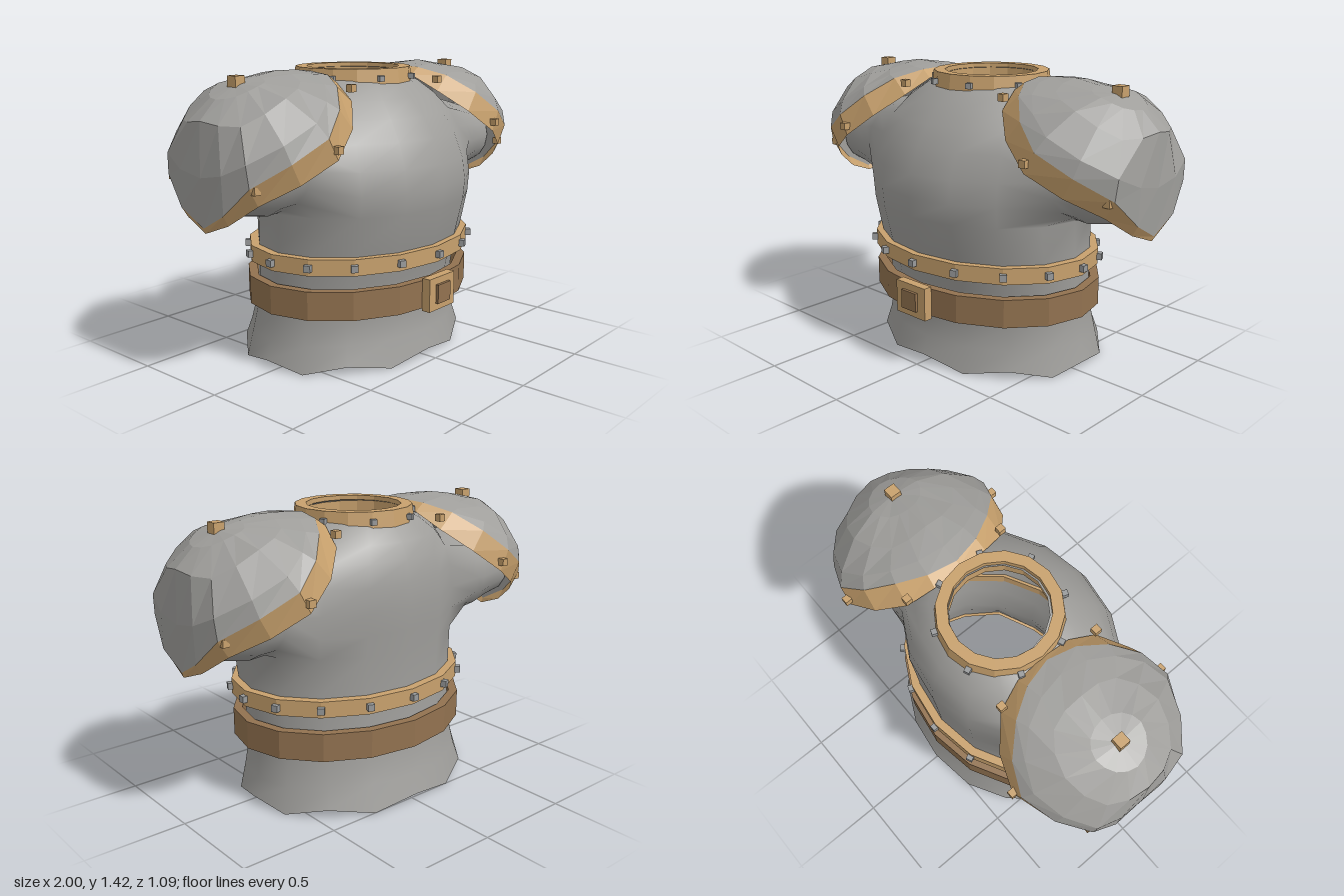
import * as THREE from 'three';

const V = (x, y, z) => new THREE.Vector3(x, y, z);
const ZC = -0.04; // depth of the body's axis
const N = 16;     // sides of every ring

function surface(points, idx) {
  const g = new THREE.BufferGeometry();
  g.setAttribute('position', new THREE.Float32BufferAttribute(points.flatMap(p => [p.x, p.y, p.z]), 3));
  g.setIndex(idx);
  return g;
}

// Faceted skin over closed rings of points
function loft(rings) {
  const idx = [];
  for (let i = 0; i < rings.length - 1; i++) {
    for (let j = 0; j < N; j++) {
      const k = (j + 1) % N;
      const a = i * N + j, b = i * N + k, c = b + N, d = a + N;
      if (rings[i][j].distanceTo(rings[i][k]) > 1e-6) idx.push(a, b, c);
      idx.push(a, c, d);
    }
  }
  const g = surface(rings.flat(), idx).toNonIndexed();
  g.computeVertexNormals();
  return g;
}

// Oval ring around the body
function oval(rx, front, back, yAt) {
  const c = (front + back) / 2, rz = (front - back) / 2;
  return Array.from({ length: N }, (_, j) => {
    const a = j / N * Math.PI * 2;
    return V(rx * Math.sin(a), yAt(j), c + rz * Math.cos(a));
  });
}

// Hollow hoop with a rectangular section
function hoop(rx, front, back, y0, y1, wall, flare = 0) {
  const ring = (inset, y) => oval(rx - inset, front - inset, back + inset, () => y);
  return loft([ring(wall, y0), ring(-flare, y0), ring(0, y1), ring(wall, y1), ring(wall, y0)]);
}

// Smooth shell: body rings with an armhole on each side, bridged to the sleeve rings
function shirt(body, sleeve) {
  const pts = body.flat(), idx = [];
  const low = 5, high = 9; // rows of the armhole
  const quad = (a, b, c, d) => idx.push(a, b, c, a, c, d);
  for (let i = 0; i < body.length - 1; i++) {
    for (let j = 0; j < N; j++) {
      if (i >= low && i < high && j % 8 >= 2 && j % 8 <= 5) continue;
      const k = (j + 1) % N;
      quad(i * N + j, i * N + k, (i + 1) * N + k, (i + 1) * N + j);
    }
  }
  // Walk round the armhole from the top centre towards the front
  const hole = [[high, 4], [high, 3]];
  for (let r = high; r >= low; r--) hole.push([r, 2]);
  for (let c = 3; c <= 5; c++) hole.push([low, c]);
  for (let r = low; r <= high; r++) hole.push([r, 6]);
  hole.push([high, 5]);
  for (const s of [1, -1]) {
    let prev = hole.map(([r, c]) => r * N + (s > 0 ? c : N - c));
    for (const ring of sleeve) {
      const next = ring.map(p => pts.push(V(p.x * s, p.y, p.z)) - 1);
      for (let j = 0; j < N; j++) {
        const k = (j + 1) % N;
        if (s > 0) quad(prev[j], prev[k], next[k], next[j]);
        else quad(prev[k], prev[j], next[j], next[k]);
      }
      prev = next;
    }
  }
  const g = surface(pts, idx);
  g.computeVertexNormals();
  return g;
}

export function createModel() {
  const root = new THREE.Group();
  root.name = 'shoulderedArmor';
  const mat = (name, color) => {
    const m = new THREE.MeshStandardMaterial({ color, side: THREE.DoubleSide });
    m.name = name;
    return m;
  };
  const steel = mat('steel', 0x9f9e9b);
  const rivetSteel = mat('rivetSteel', 0x999b9c);
  const brass = mat('brass', 0xc8a16d);
  const leather = mat('leather', 0x927250);

  const add = (name, geo, material, parent = root) => {
    const m = new THREE.Mesh(geo, material);
    m.name = name;
    parent.add(m);
    return m;
  };
  const stud = (name, p, size, material, parent, turn = 0) => {
    const m = add(name, new THREE.BoxGeometry(size, size, size), material, parent);
    m.position.copy(p);
    m.rotation.y = turn;
  };

  // Torso sections: y, half width, front z, back z
  const hemY = j => (j % 2 ? 0 : 0.04);
  const hem = oval(0.635, 0.455, -0.54, hemY);
  const torso = [
    [0.13, 0.607, 0.425, -0.505], [0.25, 0.585, 0.40, -0.47],
    [0.43, 0.58, 0.425, -0.455], [0.6, 0.597, 0.475, -0.45],
    [0.77, 0.603, 0.518, -0.457], [0.87, 0.605, 0.528, -0.462],
    [0.98, 0.595, 0.513, -0.468], [1.1, 0.57, 0.465, -0.46],
    [1.2, 0.53, 0.4, -0.435], [1.28, 0.46, 0.325, -0.395],
    [1.345, 0.36, 0.255, -0.34], [1.4, 0.225, 0.175, -0.275],
  ].map(([y, rx, f, b]) => oval(rx, f, b, () => y));
  // Sleeve sections: x, centre y, half height, half depth
  const sleeve = [
    [0.62, 1.0, 0.222, 0.29], [0.7, 0.985, 0.218, 0.26],
    [0.84, 0.98, 0.185, 0.21], [0.982, 0.98, 0.17, 0.17],
  ].map(([x, cy, ry, rz]) => Array.from({ length: N }, (_, j) => {
    const a = j / N * Math.PI * 2;
    return V(x, cy + ry * Math.cos(a), ZC + rz * Math.sin(a));
  }));
  add('torsoAndSleeves', shirt([hem, ...torso], sleeve), steel);
  add('hemEdge', loft([oval(0.618, 0.438, -0.523, hemY), hem]), brass);

  // Collar with eight rivets
  add('collar', hoop(0.288, 0.243, -0.333, 1.33, 1.42, 0.055, 0.012), brass);
  for (let i = 0; i < 8; i++) {
    const a = (i + 0.5) / 8 * Math.PI * 2;
    stud('collarRivet', V(0.305 * Math.sin(a), 1.375, -0.045 + 0.305 * Math.cos(a)), 0.027, rivetSteel, root, a);
  }

  // Riveted waist band, belt and buckle
  add('waistBand', hoop(0.635, 0.503, -0.493, 0.5, 0.58, 0.05), brass);
  oval(0.64, 0.51, -0.5, () => 0.54).forEach((p, j) =>
    stud('waistRivet', p, 0.033, rivetSteel, root, j / N * Math.PI * 2));
  add('belt', hoop(0.635, 0.5, -0.512, 0.283, 0.423, 0.045), leather);
  add('buckle', new THREE.BoxGeometry(0.2, 0.165, 0.045), brass).position.set(0, 0.353, 0.508);
  add('buckleCentre', new THREE.BoxGeometry(0.1, 0.095, 0.04), leather).position.set(0, 0.353, 0.525);

  // Shoulder plate rings, each from outer edge round to the neck: x, y, z offset
  const plate = [
    [[0.9, 1.32, 0], [0.86, 1.335, 0.09], [0.77, 1.375, 0.13], [0.69, 1.39, 0.09], [0.66, 1.405, 0]],
    [[0.99, 1.235, 0], [0.93, 1.22, 0.19], [0.74, 1.33, 0.27], [0.56, 1.385, 0.18], [0.53, 1.425, 0]],
    [[1, 0.99, 0], [0.97, 1.07, 0.26], [0.69, 1.23, 0.4], [0.48, 1.37, 0.25], [0.4, 1.42, 0]],
    [[0.99, 0.765, 0], [0.962, 0.97, 0.27], [0.66, 1.165, 0.442], [0.42, 1.36, 0.27], [0.31, 1.41, 0]],
    [[0.98, 0.74, 0], [0.905, 0.885, 0.26], [0.605, 1.065, 0.445], [0.33, 1.285, 0.28], [0.285, 1.395, 0]],
  ];
  // Mirror the half ring in z and double its sides
  const fullRing = half => {
    const pts = half.map(([x, y, z]) => V(x, y, ZC + z));
    for (const [x, y, z] of half.slice(1, 4).reverse()) pts.push(V(x, y, ZC - z));
    const curve = new THREE.CatmullRomCurve3(pts, true, 'catmullrom', 0.5);
    return Array.from({ length: N }, (_, j) => {
      const p = curve.getPoint(j / N);
      p.x = Math.min(p.x, 1);
      return p;
    });
  };
  const pole = Array.from({ length: N }, () => V(0.78, 1.38, ZC));
  const plateRings = [pole, ...plate.map(fullRing)];

  for (const s of [1, -1]) {
    const side = new THREE.Group();
    side.name = s > 0 ? 'leftShoulder' : 'rightShoulder';
    root.add(side);
    const mirror = rings => rings.map(r => {
      const m = r.map(p => V(p.x * s, p.y, p.z));
      return s > 0 ? m : m.reverse();
    });
    add('shoulderPlate', loft(mirror(plateRings.slice(0, 5))), steel, side);
    add('plateTrim', loft(mirror(plateRings.slice(4))), brass, side);

    // Brass studs on the crown and along the trim
    stud('crownStud', V(0.78 * s, 1.388, ZC), 0.055, brass, side);
    for (const [x, y, z] of [[0.33, 1.345, 0.275], [0.612, 1.112, 0.45], [0.93, 0.96, 0.27]]) {
      for (const f of [1, -1]) stud('trimStud', V(x * s, y, ZC + z * f), 0.035, brass, side);
    }
  }
  return root;
}
